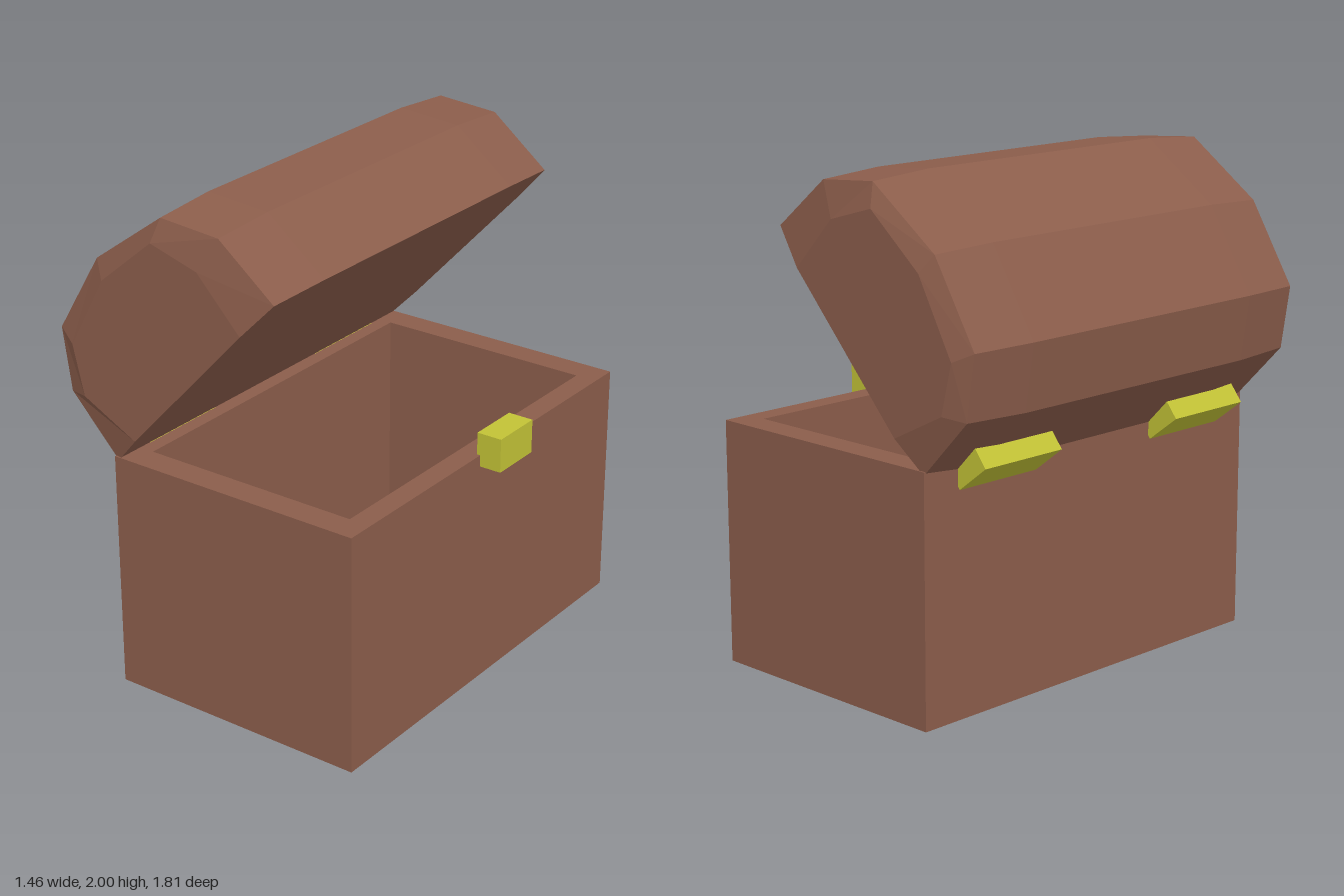
import * as THREE from 'three';

const wood = new THREE.MeshStandardMaterial({ color: 0x8b5d4b, flatShading: true });
const brass = new THREE.MeshStandardMaterial({ color: 0xc2c236, flatShading: true });

function addMesh(parent, name, geometry, material) {
  const mesh = new THREE.Mesh(geometry, material);
  mesh.name = name;
  parent.add(mesh);
  return mesh;
}

function addBox(parent, name, size, position, material) {
  const mesh = addMesh(parent, name, new THREE.BoxGeometry(...size), material);
  mesh.position.set(...position);
  return mesh;
}

// Joins convex counter-clockwise xy sections, ordered by rising z, into a closed solid
function loft(sections) {
  const n = sections[0].points.length;
  const positions = sections.flatMap(s => s.points.flatMap(([x, y]) => [x, y, s.z]));
  const index = [];
  const last = (sections.length - 1) * n;
  for (let i = 0; i < sections.length - 1; i++) {
    for (let j = 0; j < n; j++) {
      const a = i * n + j, b = i * n + (j + 1) % n;
      index.push(a, b, b + n, a, b + n, a + n);
    }
  }
  for (let j = 1; j < n - 1; j++) {
    index.push(0, j + 1, j, last, last + j, last + j + 1);
  }
  const geometry = new THREE.BufferGeometry();
  geometry.setAttribute('position', new THREE.Float32BufferAttribute(positions, 3));
  geometry.setIndex(index);
  const flat = geometry.toNonIndexed();
  flat.computeVertexNormals();
  return flat;
}

function rectangle(path, x0, x1, y0, y1) {
  path.moveTo(x0, y0);
  path.lineTo(x1, y0);
  path.lineTo(x1, y1);
  path.lineTo(x0, y1);
  path.closePath();
  return path;
}

export function createModel() {
  const chest = new THREE.Group();
  chest.name = 'chest';

  // Open box: walls with a rectangular hole, plus the floor
  const body = new THREE.Group();
  body.name = 'body';
  chest.add(body);
  const outline = rectangle(new THREE.Shape(), -0.465, 0.635, -0.883, 0.883);
  outline.holes.push(rectangle(new THREE.Path(), -0.375, 0.545, -0.77, 0.77));
  const walls = new THREE.ExtrudeGeometry(outline, { depth: 0.975, bevelEnabled: false });
  walls.rotateX(-Math.PI / 2);
  addMesh(body, 'walls', walls, wood);
  addBox(body, 'floor', [0.92, 0.1, 1.54], [0.085, 0.05, 0], wood);

  // Tilted lid: faceted arch that narrows slightly, then bevels to its ends
  const full = [[0.31, 1.78], [0.06, 1.98], [-0.21, 2], [-0.53, 1.77],
    [-0.73, 1.44], [-0.69, 1.18], [-0.465, 0.945]];
  const rim = full.map(([x, y]) => [-0.1 + (x + 0.1) * 0.97, 1.38 + (y - 1.38) * 0.97]);
  const end = [[0.17, 1.63], [-0.02, 1.83], [-0.23, 1.89], [-0.47, 1.69],
    [-0.63, 1.4], [-0.58, 1.2], [-0.34, 1.08]];
  const half = [{ z: 0.6, points: full }, { z: 0.873, points: rim }, { z: 0.907, points: end }];
  const mirrored = half.map(s => ({ z: -s.z, points: s.points })).reverse();
  addMesh(chest, 'lid', loft([...mirrored, ...half]), wood);

  // Latch on the opening side
  addBox(chest, 'latch', [0.105, 0.137, 0.217], [0.673, 0.997, -0.042], brass);

  // Pair of hinges, tilted halfway to the lid
  for (const side of [-1, 1]) {
    const hinge = addBox(chest, 'hinge', [0.165, 0.1, 0.395], [-0.509, 0.969, side * 0.518], brass);
    hinge.rotation.z = -0.66;
  }

  return chest;
}
